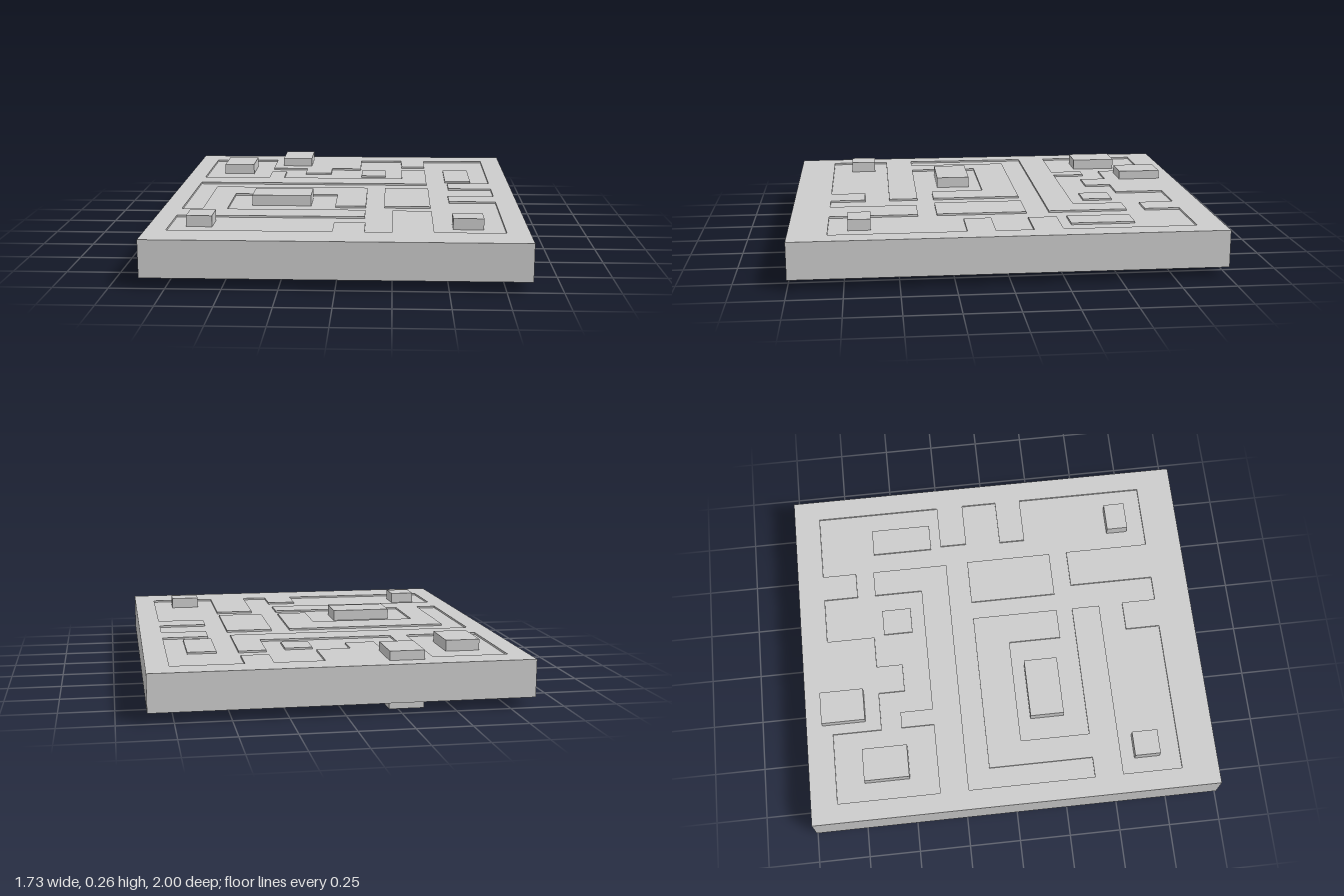
import * as THREE from 'three';

const TOP = 0.222, FLOOR = 0.213, BOTTOM = 0.048;
const HALF_X = 0.865, HALF_Z = 1;

export function createModel() {
  const model = new THREE.Group();
  const material = new THREE.MeshStandardMaterial({ color: 0xcccccc, flatShading: true });

  const add = (name, geometry, parent = model) => {
    const mesh = new THREE.Mesh(geometry, material);
    mesh.name = name;
    parent.add(mesh);
    return mesh;
  };

  // Box given by its plan corners and its height range
  const block = (name, [x0, z0, x1, z1], y0, y1, parent) =>
    add(name, new THREE.BoxGeometry(x1 - x0, y1 - y0, z1 - z0), parent)
      .position.set((x0 + x1) / 2, (y0 + y1) / 2, (z0 + z1) / 2);

  // Thick slab, up to the floor of the shallow channels
  block('slab', [-HALF_X, -HALF_Z, HALF_X, HALF_Z], BOTTOM, FLOOR);

  // Raised border around the recessed middle
  const outline = new THREE.Shape([
    [-HALF_X, -HALF_Z], [HALF_X, -HALF_Z], [HALF_X, HALF_Z], [-HALF_X, HALF_Z],
  ].map(([x, y]) => new THREE.Vector2(x, y)));
  outline.holes.push(new THREE.Path([
    [-0.77, -0.82], [-0.77, 0.87], [0.76, 0.87], [0.76, -0.82],
  ].map(([x, y]) => new THREE.Vector2(x, y))));
  const border = new THREE.ExtrudeGeometry(outline, { depth: TOP - FLOOR, bevelEnabled: false });
  border.rotateX(-Math.PI / 2).translate(0, FLOOR, 0);
  add('border', border);

  // Low raised tracks left standing between the channels: x0, z0, x1, z1
  const tracks = new THREE.Group();
  tracks.name = 'raisedTracks';
  model.add(tracks);
  [
    [-0.42, -0.87, 0.07, -0.63],
    [-0.23, -0.63, -0.09, -0.5],
    [0.3, -0.87, 0.43, -0.7],
    [0.08, -0.58, 0.21, -0.435],
    [-0.77, -0.37, 0.43, -0.23],
    [-0.42, -0.53, -0.34, -0.37],
    [0.3, -0.61, 0.43, -0.37],
    [0.53, -0.6, 0.665, -0.3],
    [0.54, -0.25, 0.76, -0.115],
    [0.53, 0.06, 0.76, 0.19],
    [-0.67, -0.12, 0.12, 0.05],
    [-0.67, 0.05, -0.55, 0.39],
    [-0.03, 0.05, 0.12, 0.31],
    [0.21, -0.12, 0.435, 0.31],
    [-0.77, 0.39, 0.12, 0.53],
    [-0.02, 0.65, 0.125, 0.82],
    [0.25, 0.4, 0.437, 0.82],
  ].forEach((r) => block('track', r, FLOOR, TOP, tracks));

  // Blocks that pass right through the slab and stand out on both faces
  const studs = new THREE.Group();
  studs.name = 'throughBlocks';
  model.add(studs);
  [
    [-0.68, -0.73, -0.52, -0.51],
    [-0.37, -0.92, -0.21, -0.705],
    [-0.44, 0.11, -0.15, 0.275],
    [-0.695, 0.595, -0.575, 0.72],
    [0.525, 0.625, 0.665, 0.73],
  ].forEach((r) => block('throughBlock', r, 0, 0.265, studs));

  return model;
}
